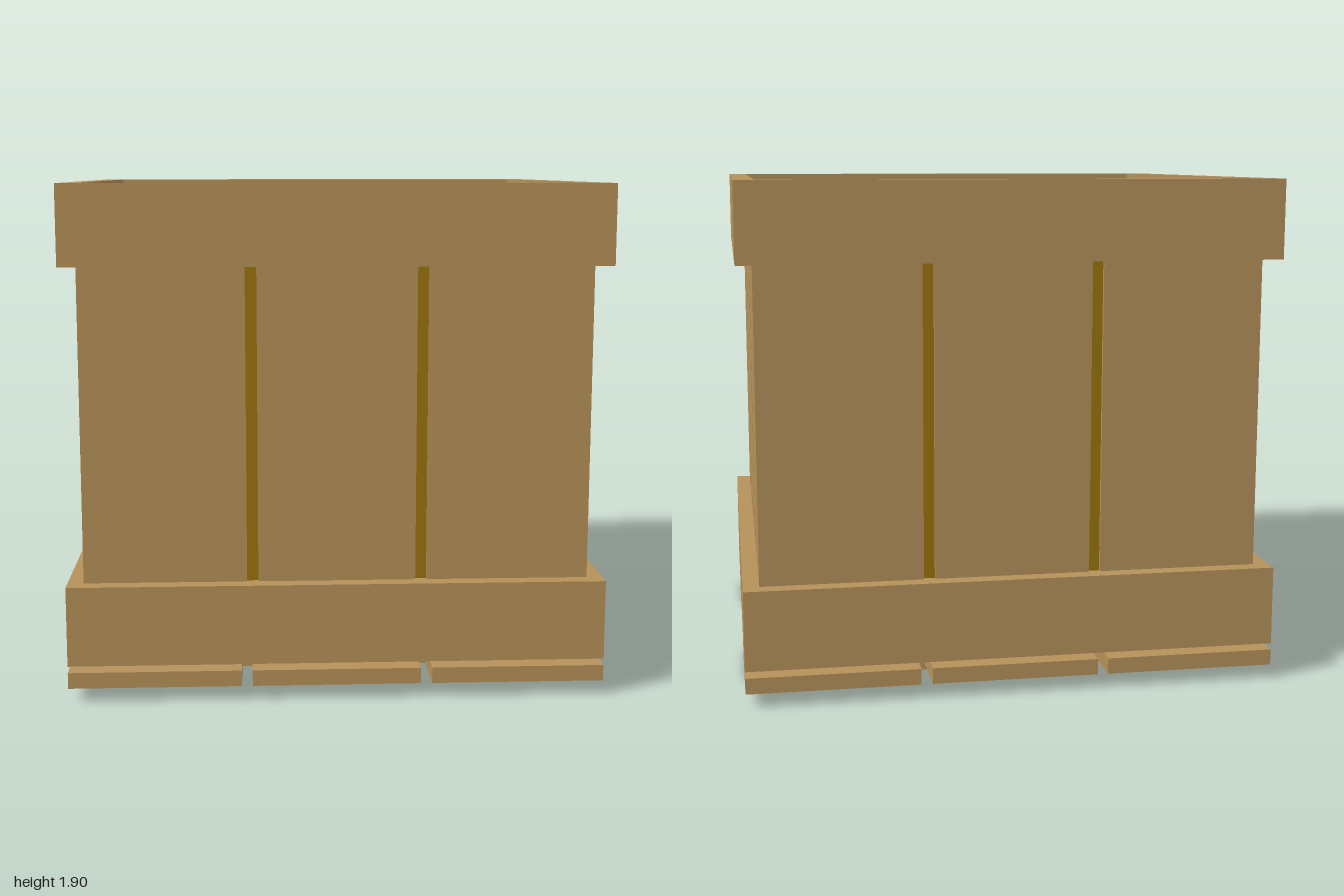
import * as THREE from 'three';

const wood = new THREE.MeshStandardMaterial({ color: 0xb59159 });
wood.name = 'wood';
const darkWood = new THREE.MeshStandardMaterial({ color: 0x9a740c });
darkWood.name = 'darkWood';

// Box given by its minimum and maximum on each axis
function box(name, material, [x0, x1], [y0, y1], [z0, z1]) {
  const mesh = new THREE.Mesh(new THREE.BoxGeometry(x1 - x0, y1 - y0, z1 - z0), material);
  mesh.position.set((x0 + x1) / 2, (y0 + y1) / 2, (z0 + z1) / 2);
  mesh.name = name;
  return mesh;
}

function square(path, r) {
  path.moveTo(-r, -r);
  path.lineTo(r, -r);
  path.lineTo(r, r);
  path.lineTo(-r, r);
  path.closePath();
  return path;
}

// Square frame running round the crate
function band(name, y0, y1) {
  const shape = square(new THREE.Shape(), 1);
  shape.holes.push(square(new THREE.Path(), 0.925));
  const geometry = new THREE.ExtrudeGeometry(shape, { depth: y1 - y0, bevelEnabled: false });
  geometry.rotateX(-Math.PI / 2);
  const mesh = new THREE.Mesh(geometry, wood);
  mesh.position.y = y0;
  mesh.name = name;
  return mesh;
}

// One wall: three planks with battens closing the two slits
function wall(name) {
  const group = new THREE.Group();
  group.name = name;
  const y = [0.43, 1.612];
  const z = [0.913, 0.94];
  for (const x of [[-0.94, -0.335], [-0.293, 0.293], [0.335, 0.94]]) {
    group.add(box('wallPlank', wood, x, y, z));
  }
  for (const x of [[-0.335, -0.293], [0.293, 0.335]]) {
    group.add(box('batten', darkWood, x, y, [0.918, 0.926]));
  }
  return group;
}

export function createModel() {
  const crate = new THREE.Group();
  crate.name = 'crate';

  // Skids and base boards
  for (const z of [[0.285, 0.62], [-0.69, -0.35]]) {
    crate.add(box('skid', wood, [-1, 1], [0, 0.053], z));
  }
  for (const x of [[-1, -0.357], [-0.317, 0.312], [0.354, 1]]) {
    crate.add(box('baseBoard', wood, x, [0.053, 0.113], [-1, 1]));
  }

  // Floor sheet with boards laid on it
  crate.add(box('floorSheet', darkWood, [-0.925, 0.925], [0.113, 0.142], [-0.925, 0.925]));
  for (const x of [[-0.925, -0.355], [-0.317, 0.31], [0.35, 0.925]]) {
    crate.add(box('floorBoard', wood, x, [0.142, 0.15], [-0.925, 0.925]));
  }

  // Frames and walls
  crate.add(band('lowerBand', 0.138, 0.438));
  crate.add(band('upperBand', 1.61, 1.905));
  ['frontWall', 'leftWall', 'backWall', 'rightWall'].forEach((name, i) => {
    const side = wall(name);
    side.rotation.y = (i * Math.PI) / 2;
    crate.add(side);
  });
  return crate;
}
